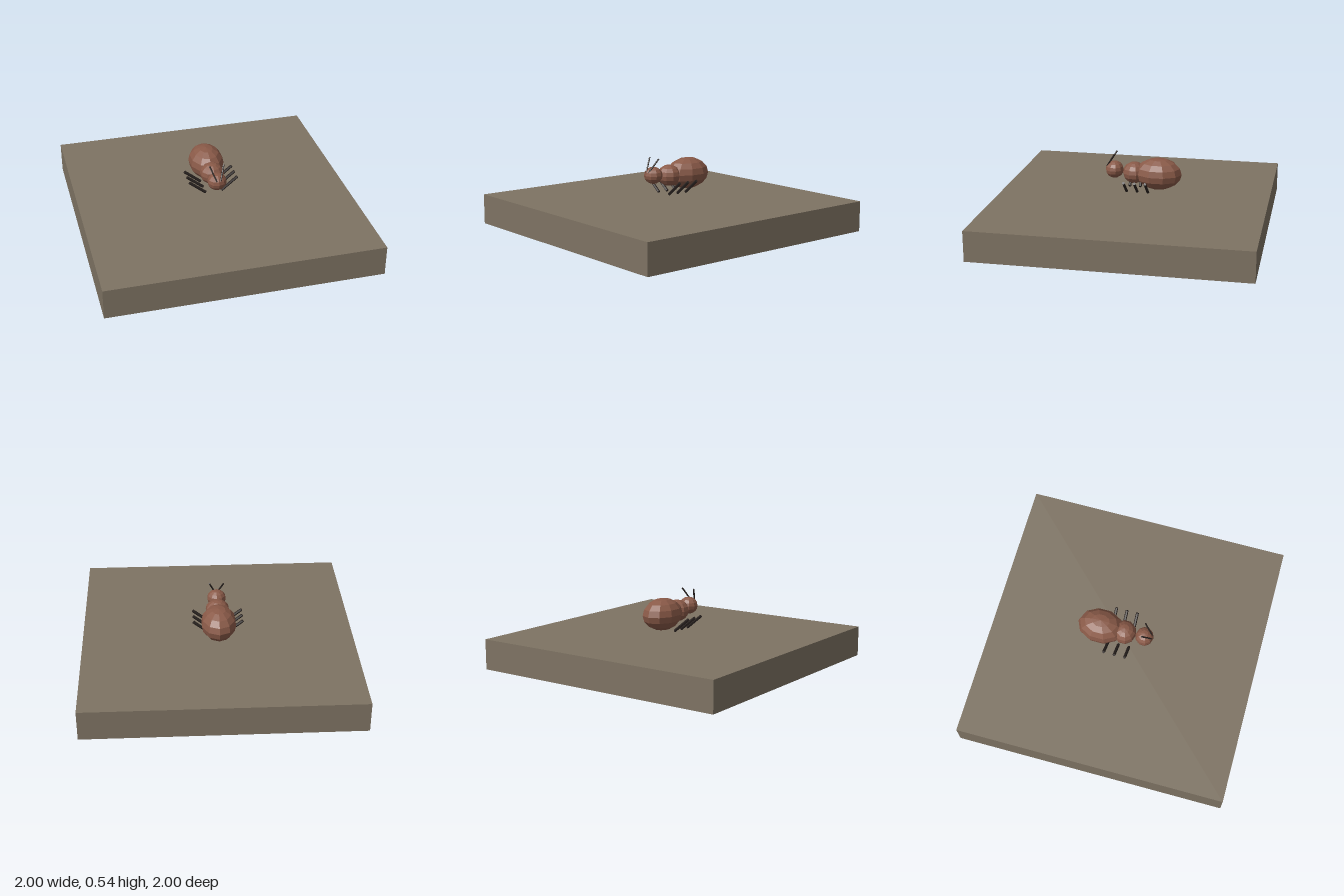
import * as THREE from 'three';

const mat = (color) => new THREE.MeshStandardMaterial({ color, flatShading: true });

export function createModel() {
  const model = new THREE.Group();
  const ground = mat(0x7e7363);
  const shell = mat(0x8a5a48);
  const dark = mat(0x2c2522);

  const add = (name, geometry, material, parent = model) => {
    const mesh = new THREE.Mesh(geometry, material);
    mesh.name = name;
    parent.add(mesh);
    return mesh;
  };

  // Low-poly ellipsoid with an equator corner pointing along z
  const ellipsoid = (name, [rx, ry, rz], [x, y, z]) => {
    const geometry = new THREE.SphereGeometry(1, 10, 8).rotateY(Math.PI / 2);
    geometry.scale(rx, ry, rz);
    add(name, geometry, shell).position.set(x, y, z);
  };

  // Thin rod between two points
  const rod = (name, a, b, radius, parent) => {
    const start = new THREE.Vector3(...a);
    const dir = new THREE.Vector3(...b).sub(start);
    const mesh = add(name, new THREE.CylinderGeometry(radius, radius, dir.length(), 6), dark, parent);
    mesh.position.copy(start).addScaledVector(dir, 0.5);
    mesh.quaternion.setFromUnitVectors(new THREE.Vector3(0, 1, 0), dir.normalize());
  };

  // Ground slab
  add('groundSlab', new THREE.BoxGeometry(2, 0.225, 2), ground).position.y = 0.1125;

  // Body segments
  ellipsoid('abdomen', [0.13, 0.118, 0.174], [0, 0.397, -0.181]);
  ellipsoid('thorax', [0.09, 0.08, 0.087], [0, 0.397, 0]);
  ellipsoid('head', [0.071, 0.064, 0.068], [0, 0.413, 0.15]);

  // Three pairs of legs and one pair of antennae
  const legs = new THREE.Group();
  legs.name = 'legs';
  const antennae = new THREE.Group();
  antennae.name = 'antennae';
  model.add(legs, antennae);
  for (const [side, s] of [['left', 1], ['right', -1]]) {
    ['Front', 'Middle', 'Back'].forEach((row, i) => {
      const z = 0.048 - i * 0.08;
      rod(`${side}${row}Leg`, [s * 0.06, 0.267, z], [s * 0.182, 0.366, z], 0.011, legs);
    });
    rod(`${side}Antenna`, [s * 0.014, 0.44, 0.204], [s * 0.053, 0.541, 0.141], 0.006, antennae);
  }
  return model;
}
